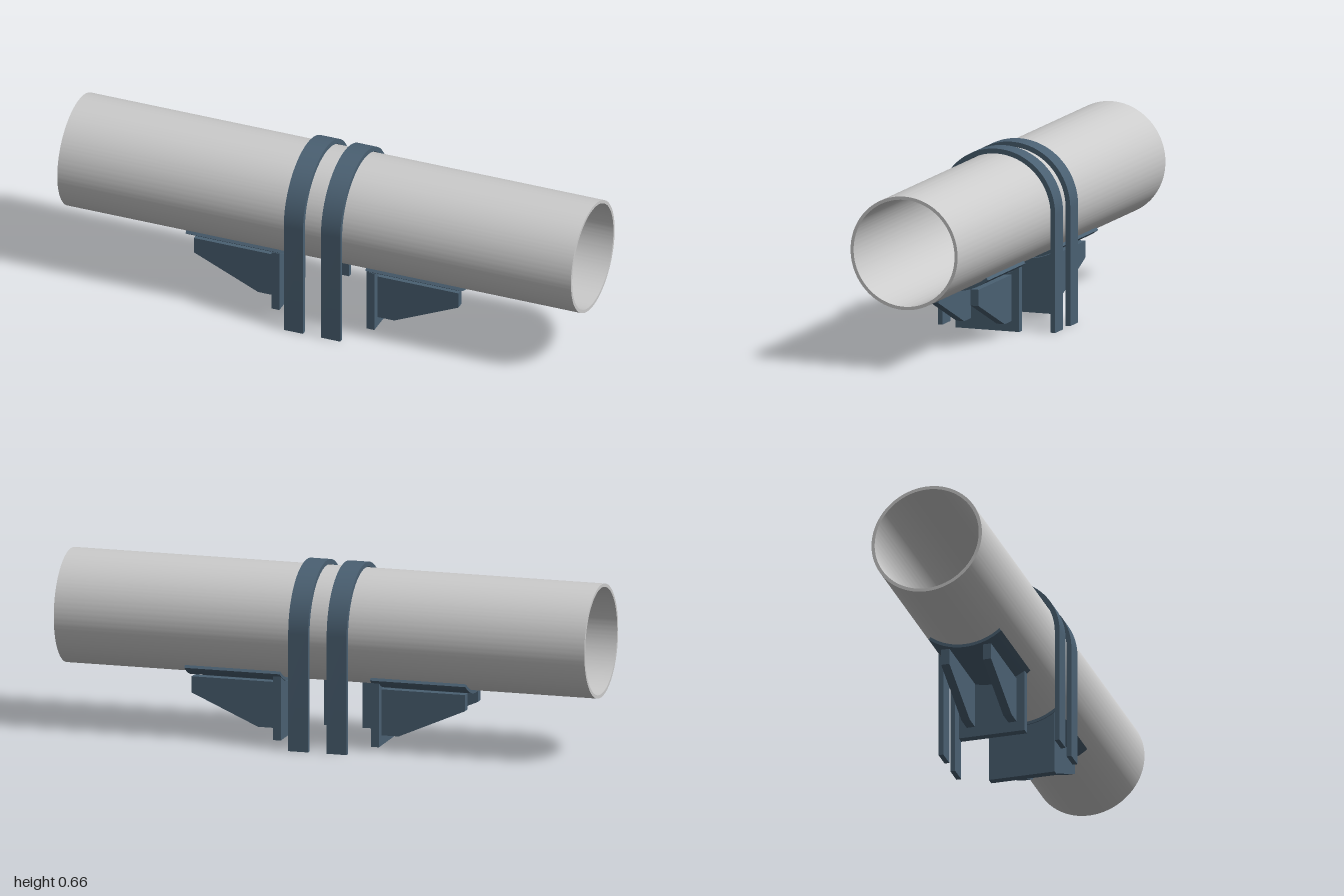
import * as THREE from 'three';
import { toCreasedNormals } from 'three/addons/utils/BufferGeometryUtils.js';

const AXIS_Y = 0.432; // height of the pipe's centre line
const grey = new THREE.MeshStandardMaterial({ color: 0xcccccc });
const blue = new THREE.MeshStandardMaterial({ color: 0x4a6072 });

// Extrudes a cross-section (drawn in z, y) along x from x0 to x1
function alongX(name, shape, x0, x1, material, curveSegments = 32) {
  const solid = new THREE.ExtrudeGeometry(shape, { depth: x1 - x0, bevelEnabled: false, curveSegments });
  solid.rotateY(Math.PI / 2).translate(x0, 0, 0);
  const mesh = new THREE.Mesh(toCreasedNormals(solid, 0.5), material);
  mesh.name = name;
  return mesh;
}

// Hollow pipe section
function pipeShape() {
  const s = new THREE.Shape().absarc(0, AXIS_Y, 0.208, 0, Math.PI * 2, false);
  s.holes.push(new THREE.Path().absarc(0, AXIS_Y, 0.196, 0, Math.PI * 2, true));
  return s;
}

// Inverted U strap with straight legs to the ground
function strapShape() {
  const outer = 0.228, inner = 0.21;
  const s = new THREE.Shape();
  s.moveTo(outer, 0);
  s.lineTo(outer, AXIS_Y);
  s.absarc(0, AXIS_Y, outer, 0, Math.PI, false);
  s.lineTo(-outer, 0);
  s.lineTo(-inner, 0);
  s.lineTo(-inner, AXIS_Y);
  s.absarc(0, AXIS_Y, inner, Math.PI, 0, true);
  s.lineTo(inner, 0);
  return s;
}

// Curved saddle hugging the underside of the pipe
function saddleShape() {
  const half = 0.67, down = -Math.PI / 2;
  const s = new THREE.Shape();
  s.absarc(0, AXIS_Y, 0.22, down - half, down + half, false);
  s.absarc(0, AXIS_Y, 0.2085, down + half, down - half, true);
  return s;
}

// Upright plate with a concave top edge
function plateShape() {
  const w = 0.124, r = 0.222, a = Math.asin(w / r), down = -Math.PI / 2;
  const s = new THREE.Shape();
  s.moveTo(-w, 0.012);
  s.lineTo(w, 0.012);
  s.absarc(0, AXIS_Y, r, down + a, down - a, true);
  return s;
}

// Tapered gusset, drawn in x, y and extruded across z
function gusset(zCentre) {
  const t = 0.031;
  const s = new THREE.Shape([
    [0.2, 0.05], [0.265, 0.05], [0.515, 0.16], [0.515, 0.22], [0.2, 0.22],
  ].map(([x, y]) => new THREE.Vector2(x, y)));
  const g = new THREE.ExtrudeGeometry(s, { depth: t, bevelEnabled: false });
  g.translate(0, 0, zCentre - t / 2);
  const mesh = new THREE.Mesh(g, blue);
  mesh.name = 'gusset';
  return mesh;
}

// One support: saddle, end plate and two gussets
function support() {
  const g = new THREE.Group();
  g.add(
    alongX('saddle', saddleShape(), 0.17, 0.53, blue),
    alongX('endPlate', plateShape(), 0.17, 0.2, blue),
    gusset(0.0785),
    gusset(-0.0785),
  );
  return g;
}

export function createModel() {
  const model = new THREE.Group();
  model.name = 'pipeSupport';
  model.add(alongX('pipe', pipeShape(), -1, 1, grey, 96));

  // Two straps either side of the middle
  model.add(alongX('rightStrap', strapShape(), -0.11, -0.035, blue));
  model.add(alongX('leftStrap', strapShape(), 0.035, 0.11, blue));

  // Matching supports, the second turned to face the other way
  const left = support();
  left.name = 'leftSupport';
  const right = support();
  right.name = 'rightSupport';
  right.rotation.y = Math.PI;
  model.add(left, right);
  return model;
}
